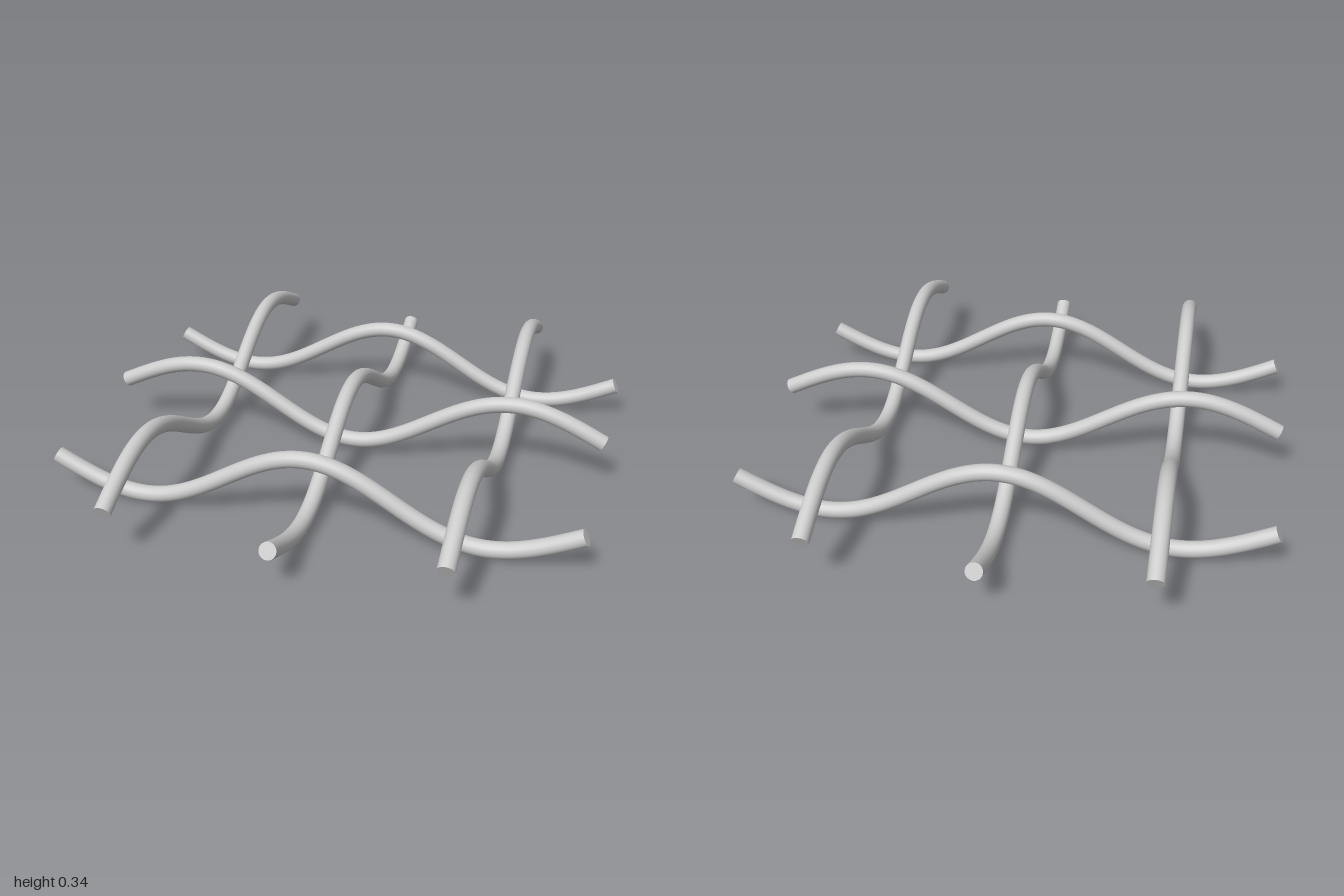
import * as THREE from 'three';

const RADIUS = 0.031, HALF = 0.986, AMP = 0.123, SPACING = 0.59, SIDES = 20;

// Wave along one rod: sign +1 crests in the middle, -1 dips there
class RodCurve extends THREE.Curve {
  constructor(alongX, offset, height, sign) {
    super();
    Object.assign(this, { alongX, offset, height, sign });
  }
  getPoint(t, target = new THREE.Vector3()) {
    const s = (2 * t - 1) * HALF;
    const y = this.height + this.sign * AMP * Math.cos(5.011 * s - 0.337 * s ** 3);
    return this.alongX ? target.set(s, y, this.offset) : target.set(this.offset, y, s);
  }
}

// Round wavy rod with flat ends square to its path
function makeRod(name, curve, material) {
  const rod = new THREE.Group();
  rod.name = name;
  const body = new THREE.Mesh(new THREE.TubeGeometry(curve, 96, RADIUS, SIDES), material);
  body.name = name + 'Body';
  rod.add(body);
  for (const t of [0, 1]) {
    const cap = new THREE.Mesh(new THREE.CircleGeometry(RADIUS, SIDES), material);
    cap.name = name + (t ? 'EndCap' : 'StartCap');
    const outward = curve.getTangent(t).multiplyScalar(t ? 1 : -1);
    cap.position.copy(curve.getPoint(t));
    cap.quaternion.setFromUnitVectors(new THREE.Vector3(0, 0, 1), outward);
    rod.add(cap);
  }
  return rod;
}

export function createModel() {
  const model = new THREE.Group();
  model.name = 'wovenRods';
  const material = new THREE.MeshStandardMaterial({ color: 0xcccccc });
  for (const i of [-1, 0, 1]) {
    const middle = i === 0;
    // Rods running left to right: outer ones crest in the middle
    model.add(makeRod(['backCrossRod', 'middleCrossRod', 'frontCrossRod'][i + 1],
      new RodCurve(true, i * SPACING, middle ? 0.17 : 0.155, middle ? -1 : 1), material));
    // Rods running back to front: outer ones dip in the middle
    model.add(makeRod(['rightLongRod', 'middleLongRod', 'leftLongRod'][i + 1],
      new RodCurve(false, i * SPACING, middle ? 0.172 : 0.187, middle ? 1 : -1), material));
  }
  return model;
}
